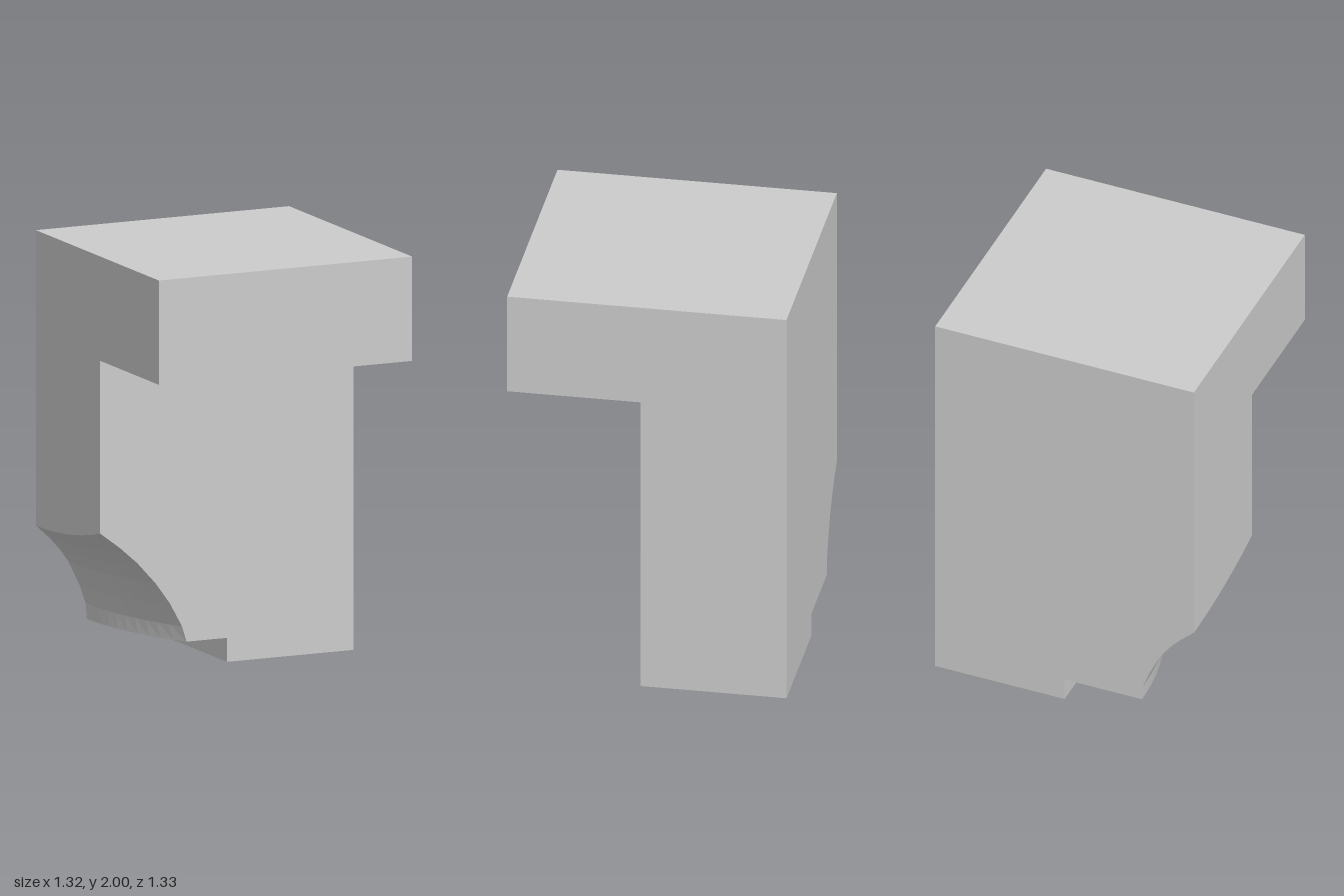
import * as THREE from 'three';

const W = 0.66, D = 0.667, FRONT = 0.03, SHELF = 1.5, STEP = 0.115;
const SLICES = 10;

// Matching points of the scooped corner on the back and front planes
const backArc = [[-W, 0.585], [-0.587, 0.518], [-0.535, 0.46], [-0.49, 0.397], [-0.43, 0.275], [-0.4, 0.19], [-0.395, STEP]];
const frontArc = [[-W, 0.672], [-0.555, 0.592], [-0.466, 0.513], [-0.37, 0.407], [-0.296, 0.305], [-0.233, 0.19], [-0.21, STEP]];

// Column outline at depth s (0 = back, 1 = front), counter-clockwise from the front
function outline(s) {
  const t = Math.pow(s, 2.1); // the scoop flares open towards the front
  const arc = backArc.map(([x, y], i) => [
    x + (frontArc[i][0] - x) * t,
    y + (frontArc[i][1] - y) * t,
  ]);
  return [[W, SHELF], [-W, SHELF], ...arc, [0, STEP], [0, 0], [W, 0]]
    .map(([x, y]) => new THREE.Vector2(x, y));
}

function columnGeometry() {
  const pos = [], index = [];
  const rings = [];
  for (let k = 0; k <= SLICES; k++) {
    const s = k / SLICES;
    const ring = outline(s);
    rings.push(ring);
    ring.forEach((p) => pos.push(p.x, p.y, -D + s * (FRONT + D)));
  }
  const n = rings[0].length;
  // Side walls; the first edge lies against the head and stays open
  for (let k = 0; k < SLICES; k++) {
    for (let i = 1; i < n; i++) {
      const a = k * n + i, b = k * n + (i + 1) % n;
      index.push(a, b, b + n, a, b + n, a + n);
    }
  }
  // Back and front caps
  const last = SLICES * n;
  THREE.ShapeUtils.triangulateShape(rings[0], []).forEach(([a, b, c]) => index.push(a, c, b));
  THREE.ShapeUtils.triangulateShape(rings[SLICES], []).forEach(([a, b, c]) => index.push(last + a, last + b, last + c));

  const geo = new THREE.BufferGeometry();
  geo.setAttribute('position', new THREE.Float32BufferAttribute(pos, 3));
  geo.setIndex(index);
  const flat = geo.toNonIndexed();
  flat.computeVertexNormals();
  return flat;
}

export function createModel() {
  const group = new THREE.Group();
  const material = new THREE.MeshStandardMaterial({ color: 0xcccccc, flatShading: true });

  // Overhanging block on top
  const head = new THREE.Mesh(new THREE.BoxGeometry(2 * W, 2 - SHELF, 2 * D), material);
  head.name = 'overhangingHead';
  head.position.y = (2 + SHELF) / 2;

  // Column with stepped foot and flared corner scoop
  const column = new THREE.Mesh(columnGeometry(), material);
  column.name = 'scoopedColumn';

  group.add(head, column);
  return group;
}
